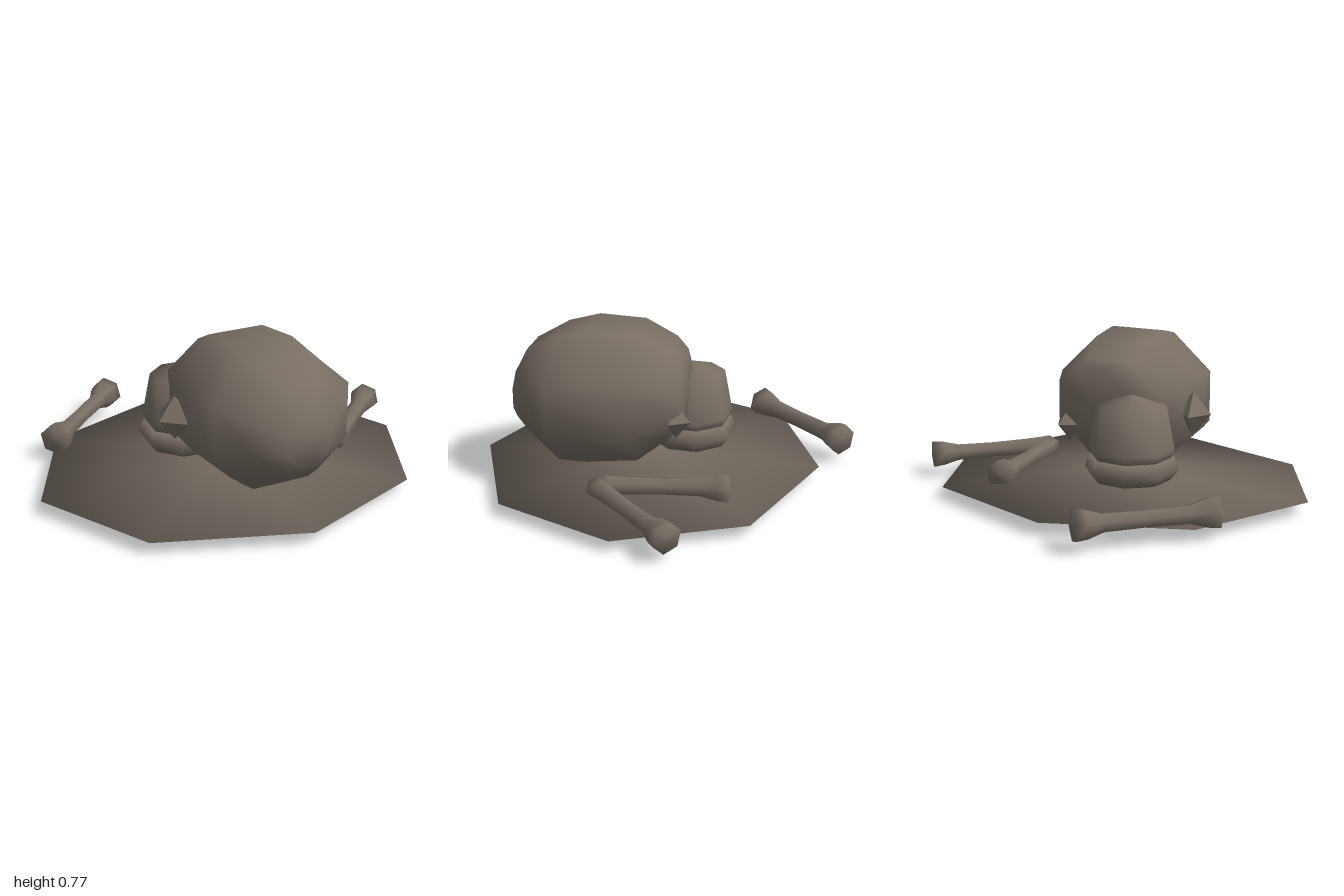
import * as THREE from 'three';

const bone = new THREE.MeshStandardMaterial({ color: 0x786e64 });
bone.name = 'weathered bone';

function add(group, geometry, name) {
  const mesh = new THREE.Mesh(geometry, bone);
  mesh.name = name;
  group.add(mesh);
  return mesh;
}

// closed smooth solid from a list of loops, ending in a point on both sides
function loft(loops, start, end) {
  const n = loops[0].length, pos = [start, ...loops.flat(), end].flat(), idx = [];
  const at = (i, j) => 1 + i * n + (j % n), last = loops.length * n + 1;
  for (let j = 0; j < n; j++) {
    idx.push(0, at(0, j + 1), at(0, j));
    for (let i = 0; i < loops.length - 1; i++) {
      idx.push(at(i, j), at(i, j + 1), at(i + 1, j + 1), at(i, j), at(i + 1, j + 1), at(i + 1, j));
    }
    idx.push(at(loops.length - 1, j), at(loops.length - 1, j + 1), last);
  }
  const g = new THREE.BufferGeometry();
  g.setAttribute('position', new THREE.Float32BufferAttribute(pos, 3));
  g.setIndex(idx);
  g.computeVertexNormals();
  return g;
}

function lathe(points, sides, phase = 0) {
  return new THREE.LatheGeometry(points.map(([r, y]) => new THREE.Vector2(r, y)), sides, phase);
}

// long bone with flared knuckles, laid between two points
function longBone(group, a, b, r1, r2, name) {
  const from = new THREE.Vector3(...a), dir = new THREE.Vector3(...b).sub(from), l = dir.length();
  const mesh = add(group, lathe([
    [0, -0.01], [r1, 0], [r1 * 0.92, 0.05], [0.046, 0.13], [0.042, l / 2],
    [0.046, l - 0.13], [r2 * 0.92, l - 0.05], [r2, l], [0, l + 0.01],
  ], 6), name);
  mesh.position.copy(from);
  mesh.quaternion.setFromUnitVectors(new THREE.Vector3(0, 1, 0), dir.normalize());
}

export function createModel() {
  const model = new THREE.Group();
  model.name = 'skullAndBones';

  // shallow lens-shaped mound with an uneven eight-sided rim
  const rim = [
    [0.91, 0.055, 0.09], [0.66, 0.06, -0.5], [-0.04, 0.065, -0.76], [-0.7, 0.065, -0.52],
    [-1, 0.065, 0.09], [-0.71, 0.065, 0.67], [-0.02, 0.065, 0.92], [0.64, 0.06, 0.67],
  ];
  add(model, loft([rim], [-0.05, 0, 0.09], [-0.035, 0.125, 0.09]), 'groundMound');

  // cranium: eight-sided sections from face to back of head [z, cx, cy, rx, ry]
  const sections = [
    [-0.11, 0.05, 0.48, 0.17, 0.17], [-0.04, -0.01, 0.45, 0.28, 0.23],
    [0.12, 0.0, 0.43, 0.345, 0.33], [0.35, 0.02, 0.43, 0.37, 0.345],
    [0.5, 0.04, 0.42, 0.36, 0.32], [0.65, 0.05, 0.44, 0.25, 0.22],
    [0.73, 0.05, 0.4, 0.11, 0.12],
  ];
  const loops = sections.map(([z, cx, cy, rx, ry]) => Array.from({ length: 8 }, (_, j) => {
    const a = (j + 0.5) * Math.PI / 4;
    return [cx + rx * 1.06 * Math.cos(a), cy + ry * 1.06 * Math.sin(a), z];
  }));
  add(model, loft(loops, [0.04, 0.46, -0.12], [0.05, 0.42, 0.745]), 'cranium');

  // upper face and jaw
  const face = add(model, lathe([[0, 0.21], [0.19, 0.22], [0.21, 0.27], [0.17, 0.48], [0, 0.53]], 8, 0.3), 'upperFace');
  const jaw = add(model, lathe([[0, 0.11], [0.19, 0.12], [0.23, 0.17], [0.21, 0.23], [0, 0.25]], 8, 0.3), 'jaw');
  for (const part of [face, jaw]) part.position.set(-0.17, 0, -0.1);

  // cheekbones
  for (const [name, p, s, turn] of [
    ['rightCheekbone', [-0.36, 0.4, 0.19], [0.09, 0.11, 0.11], 0.2],
    ['leftCheekbone', [0.18, 0.35, -0.08], [0.08, 0.09, 0.08], -0.3],
  ]) {
    const cheek = add(model, new THREE.OctahedronGeometry(1), name);
    cheek.position.set(...p);
    cheek.scale.set(...s);
    cheek.rotation.y = turn;
  }

  // scattered long bones
  longBone(model, [-0.75, 0.12, -0.4], [-0.28, 0.12, -0.86], 0.08, 0.08, 'rightLongBone');
  longBone(model, [0.41, 0.12, -0.37], [0.48, 0.12, 0.23], 0.075, 0.055, 'leftInnerLongBone');
  longBone(model, [0.5, 0.12, 0.24], [0.945, 0.11, -0.175], 0.055, 0.075, 'leftOuterLongBone');

  return model;
}
